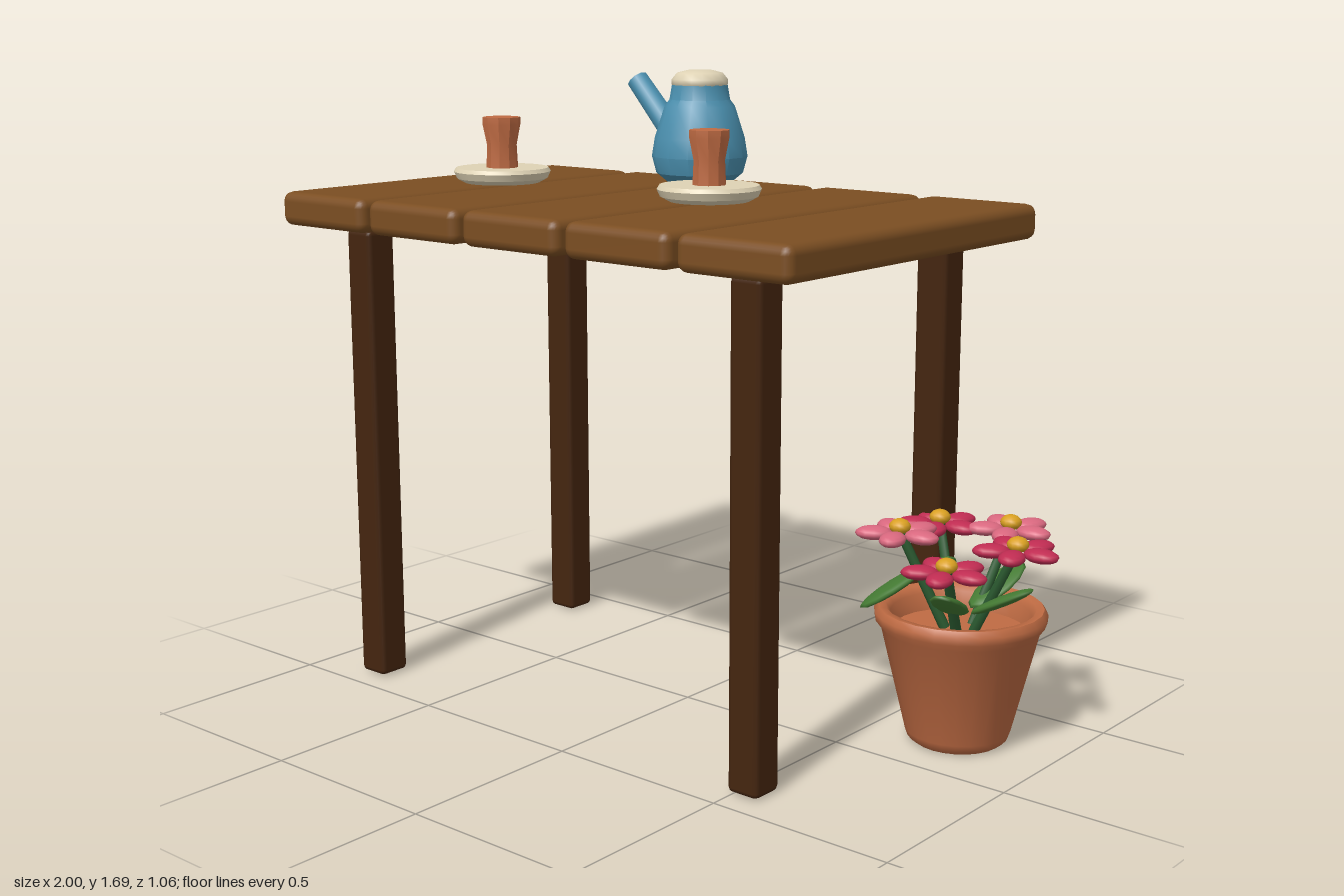
import * as THREE from 'three';
import { RoundedBoxGeometry } from 'three/addons/geometries/RoundedBoxGeometry.js';
import { toCreasedNormals } from 'three/addons/utils/BufferGeometryUtils.js';

function material(name, color) {
  const m = new THREE.MeshStandardMaterial({ color });
  m.name = name;
  return m;
}

const wood = material('plank wood', 0x7b4e22);
const darkWood = material('leg wood', 0x44250f);
const terracotta = material('terracotta', 0xbf6b43);
const cream = material('cream glaze', 0xded2b4);
const blue = material('blue glaze', 0x4a8fae);
const crimson = material('crimson petal', 0xc02c52);
const pink = material('pink petal', 0xd9687f);
const yellow = material('flower centre', 0xd9a021);
const leafGreen = material('leaf green', 0x447a33);
const stemGreen = material('stem green', 0x2b5a30);

function add(parent, name, geometry, mat, x = 0, y = 0, z = 0) {
  const mesh = new THREE.Mesh(geometry, mat);
  mesh.name = name;
  mesh.position.set(x, y, z);
  parent.add(mesh);
  return mesh;
}

function group(parent, name, x = 0, y = 0, z = 0) {
  const g = new THREE.Group();
  g.name = name;
  g.position.set(x, y, z);
  parent.add(g);
  return g;
}

// Turned part from [radius, height] pairs, listed from the bottom up
function turned(points, sides, crease = 0.6) {
  const lathe = new THREE.LatheGeometry(points.map(p => new THREE.Vector2(...p)), sides);
  return toCreasedNormals(lathe, crease);
}

function stick(from, to, r0, r1, sides) {
  const dir = to.clone().sub(from);
  const geo = new THREE.CylinderGeometry(r1, r0, dir.length(), sides);
  geo.applyQuaternion(new THREE.Quaternion().setFromUnitVectors(
    new THREE.Vector3(0, 1, 0), dir.clone().normalize()));
  const mid = from.clone().add(to).multiplyScalar(0.5);
  return geo.translate(mid.x, mid.y, mid.z);
}

function ellipsoid(a, b, c) {
  return new THREE.SphereGeometry(1, 12, 8).scale(a, b, c);
}

function buildTable(parent) {
  const table = group(parent, 'table');
  for (let i = 0; i < 5; i++) {
    add(table, 'plank', new RoundedBoxGeometry(0.33, 0.092, 1.064, 2, 0.026), wood,
      -0.836 + i * 0.351, 1.319, 0);
  }
  for (const x of [-0.803, 0.532]) {
    for (const z of [-0.386, 0.388]) {
      add(table, 'leg', new RoundedBoxGeometry(0.092, 1.262, 0.092, 1, 0.014), darkWood, x, 0.634, z);
    }
  }
}

function buildTeapot(parent) {
  const pot = group(parent, 'teapot', -0.138, 1.39, -0.215);
  add(pot, 'teapotBody', turned([[0, 0], [0.088, 0], [0.118, 0.025], [0.13, 0.07], [0.122, 0.12],
    [0.095, 0.205], [0.082, 0.222], [0.075, 0.262], [0, 0.262]], 14), blue);
  add(pot, 'lid', turned([[0, 0.25], [0.065, 0.25], [0.076, 0.262], [0.076, 0.276],
    [0.062, 0.293], [0.035, 0.3], [0, 0.3]], 16, 0.9), cream);
  add(pot, 'spout', stick(new THREE.Vector3(-0.06, 0.09, 0), new THREE.Vector3(-0.224, 0.268, 0),
    0.036, 0.031, 10), blue);
}

function buildCup(parent, x) {
  const set = group(parent, 'cupAndSaucer', x, 1.395, 0.174);
  add(set, 'saucer', turned([[0, 0], [0.1, 0], [0.122, 0.012], [0.13, 0.03], [0.124, 0.04],
    [0, 0.04]], 24), cream);
  add(set, 'cup', turned([[0, 0.035], [0.043, 0.035], [0.04, 0.1], [0.051, 0.155], [0.051, 0.174],
    [0, 0.174]], 10), terracotta);
}

function buildFlower(parent, angle, y, mat) {
  const r = 0.16;
  const head = new THREE.Vector3(r * Math.cos(angle), y, r * Math.sin(angle));
  const root = new THREE.Vector3(head.x * 0.25, 0.3, head.z * 0.25);
  add(parent, 'stem', stick(root, head, 0.014, 0.012, 8), stemGreen);
  const flower = group(parent, 'flower', head.x, head.y, head.z);
  for (let i = 0; i < 5; i++) {
    const a = i * Math.PI * 2 / 5;
    const petal = add(flower, 'petal', ellipsoid(0.048, 0.018, 0.034), mat,
      0.066 * Math.cos(a), -0.006, 0.066 * Math.sin(a));
    petal.rotation.y = -a;
  }
  add(flower, 'flowerCentre', ellipsoid(0.028, 0.02, 0.028), yellow, 0, 0.012, 0);
}

function buildPlant(parent) {
  const plant = group(parent, 'pottedPlant', 0.723, 0, -0.227);
  // Hollow pot with a rolled rim and a raised inner floor
  add(plant, 'flowerPot', turned([[0, 0], [0.115, 0], [0.13, 0.012], [0.137, 0.03], [0.205, 0.305],
    [0.22, 0.325], [0.222, 0.345], [0.212, 0.36], [0.192, 0.358], [0.18, 0.34],
    [0.172, 0.295], [0, 0.295]], 24, 0.9), terracotta);

  const step = Math.PI * 2 / 5;
  const flowers = [[0.54, crimson], [0.498, crimson], [0.555, pink], [0.54, crimson], [0.545, pink]];
  flowers.forEach(([y, mat], i) => buildFlower(plant, i * step, y, mat));

  // Leaves fan outward; the two under the table droop over the rim
  for (let i = 0; i < 5; i++) {
    const droops = i === 2 || i === 3;
    const arm = group(plant, 'leafArm', 0, droops ? 0.405 : 0.395, 0);
    arm.rotation.y = -i * step;
    const leaf = add(arm, 'leaf', ellipsoid(0.1, 0.014, 0.046), leafGreen, droops ? 0.175 : 0.12, 0, 0);
    leaf.rotation.z = droops ? -0.6 : 0.5;
  }
}

export function createModel() {
  const model = new THREE.Group();
  model.name = 'tea table with potted flowers';
  buildTable(model);
  buildTeapot(model);
  buildCup(model, -0.505);
  buildCup(model, 0.215);
  buildPlant(model);
  return model;
}
